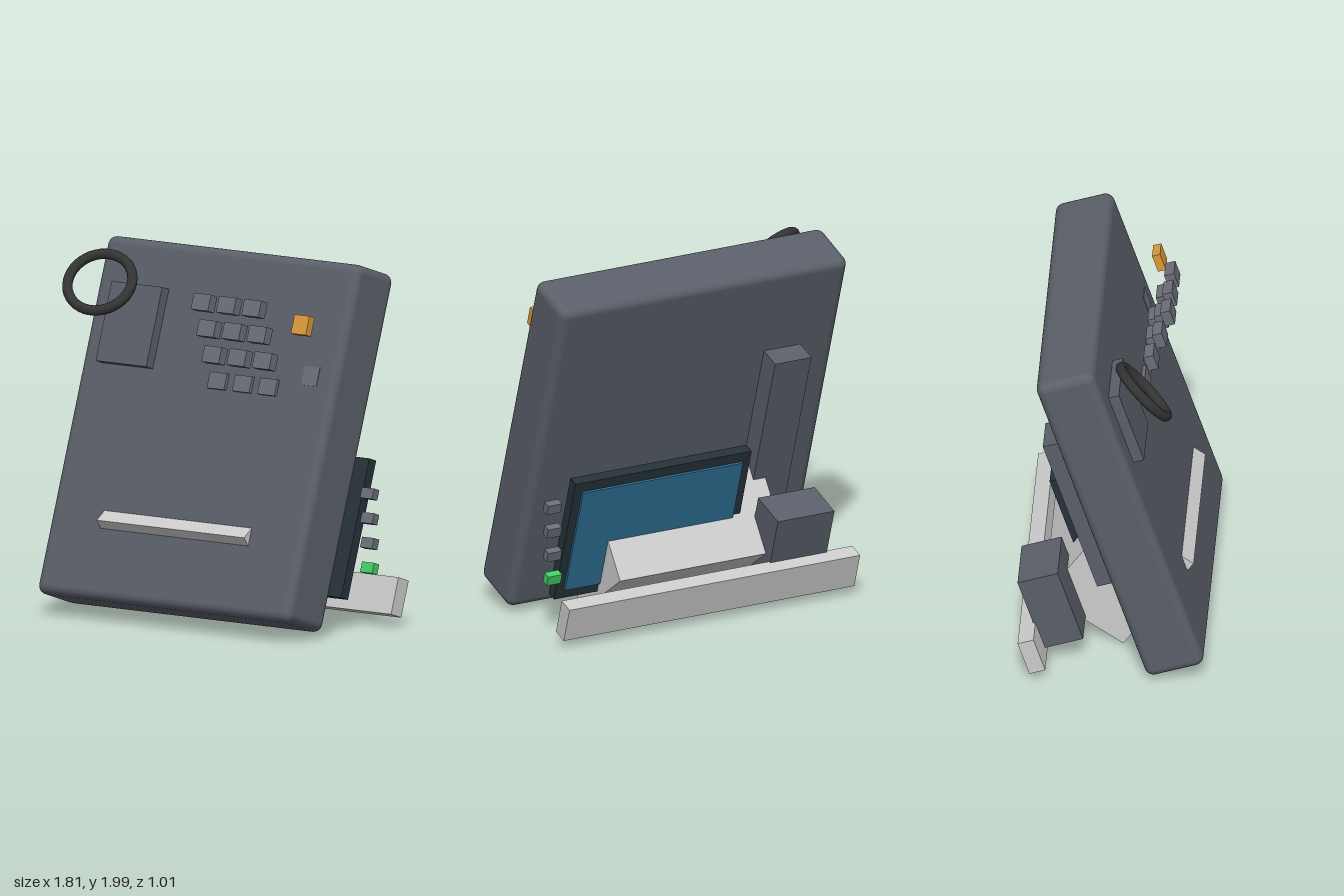
import * as THREE from 'three';
import { RoundedBoxGeometry } from 'three/addons/geometries/RoundedBoxGeometry.js';

const TILT = -Math.PI / 10; // the whole device leans back 18 degrees

const paint = (color) => new THREE.MeshStandardMaterial({ color });
const slate = paint(0x5a5f69);
const keyGrey = paint(0x6b6e78);
const silver = paint(0xcccccc);
const orange = paint(0xd99a3a);
const green = paint(0x44cc66);
const bezelDark = paint(0x263238);
const screenBlue = paint(0x2f6f96);
const rubber = paint(0x333333);

export function createModel() {
  const model = new THREE.Group();
  model.name = 'deskTerminal';

  const add = (name, geometry, material, position, tilt = TILT) => {
    const mesh = new THREE.Mesh(geometry, material);
    mesh.name = name;
    mesh.position.set(...position);
    mesh.rotation.x = tilt;
    model.add(mesh);
    return mesh;
  };
  const box = (name, size, material, position, tilt) =>
    add(name, new THREE.BoxGeometry(...size), material, position, tilt);

  // Leaning main housing with rounded edges
  const body = add('body', new RoundedBoxGeometry(1.775, 1.98, 0.33, 3, 0.05), slate, [0, 1.02, 0.06]);

  // Raised plate on the front face
  const plate = new THREE.Mesh(new THREE.BoxGeometry(0.355, 0.44, 0.08), slate);
  plate.name = 'frontPlate';
  plate.position.set(-0.56, 0.51, 0.184);
  body.add(plate);

  // Ring hovering at the upper corner
  const ring = add('ring', new THREE.TorusGeometry(0.18, 0.028, 12, 40), rubber, [-0.71, 1.795, 0.18], 0);
  ring.quaternion.setFromUnitVectors(
    new THREE.Vector3(0, 0, 1),
    new THREE.Vector3(0.3, 0.64, 0.71).normalize()
  );

  // Keypad: four rows, each lower row set further back
  for (let row = 0; row < 4; row++) {
    for (let col = 0; col < 3; col++) {
      box('key', [0.12, 0.09, 0.055], keyGrey,
        [0.09 + col * 0.177, 1.765 - row * 0.148, 0.263 - row * 0.045]);
    }
  }

  // Two function buttons beside the keypad
  box('orangeButton', [0.105, 0.105, 0.045], orange, [0.712, 1.69, 0.178]);
  box('greyButton', [0.105, 0.105, 0.045], keyGrey, [0.712, 1.4, 0.09]);

  // Block passing through the housing as a foot; its edge shows as a front bar
  box('footBlock', [1.035, 0.66, 0.52], silver, [0, 0.425, 0.035], 0.615);

  // Rear screen with bezel
  const bezel = box('screenBezel', [1.09, 0.77, 0.06], bezelDark, [0.24, 0.545, -0.206]);
  const screen = new THREE.Mesh(new THREE.BoxGeometry(0.99, 0.65, 0.02), screenBlue);
  screen.name = 'screen';
  screen.position.z = -0.034;
  bezel.add(screen);

  // Column of buttons at the side of the screen
  for (let i = 0; i < 4; i++) {
    box('sideButton', [0.085, 0.058, 0.045], i === 3 ? green : keyGrey,
      [0.852, 0.742 - i * 0.135, -0.218]);
  }

  // Rear post, rear block and the long bar along the bottom
  box('rearPost', [0.225, 0.95, 0.128], slate, [-0.555, 0.947, -0.16]);
  box('rearBlock', [0.35, 0.445, 0.228], slate, [-0.56, 0.352, -0.323]);
  box('rearBar', [1.8, 0.205, 0.09], silver, [0, 0.16, -0.415]);

  return model;
}
